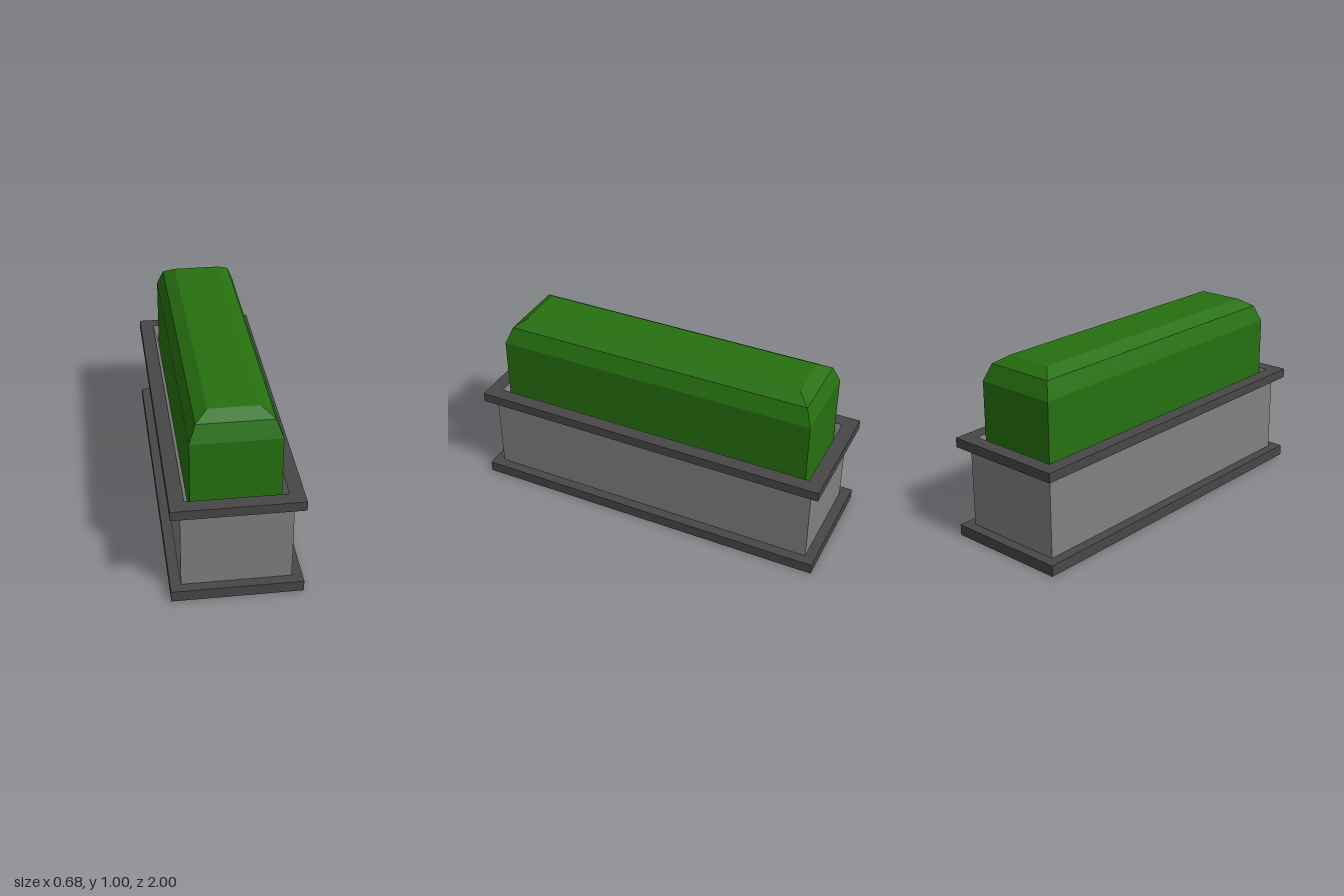
import * as THREE from 'three';

// Stacks rectangular rings [halfX, halfZ, y] into flat-sided walls, optionally capped at the end.
function loft(rings, capped) {
  const corners = ([x, z, y]) => [[-x, y, z], [x, y, z], [x, y, -z], [-x, y, -z]];
  const pos = [];
  const quad = (a, b, c, d) => pos.push(...a, ...b, ...c, ...a, ...c, ...d);
  for (let r = 0; r < rings.length - 1; r++) {
    const lo = corners(rings[r]), hi = corners(rings[r + 1]);
    for (let i = 0; i < 4; i++) {
      const j = (i + 1) % 4;
      quad(lo[i], lo[j], hi[j], hi[i]);
    }
  }
  if (capped) quad(...corners(rings[rings.length - 1]));
  const geo = new THREE.BufferGeometry();
  geo.setAttribute('position', new THREE.Float32BufferAttribute(pos, 3));
  geo.computeVertexNormals();
  return geo;
}

const rectangle = (Type, x, z) => new Type(
  [[-x, -z], [x, -z], [x, z], [-x, z]].map(([a, b]) => new THREE.Vector2(a, b)));

export function createModel() {
  const group = new THREE.Group();
  const material = (name, color) => {
    const m = new THREE.MeshStandardMaterial({ color });
    m.name = name;
    return m;
  };
  const stone = material('stone grey', 0x808080);
  const trim = material('dark trim', 0x474747);
  const leaves = material('hedge green', 0x267010);

  const add = (name, geo, mat) => {
    const mesh = new THREE.Mesh(geo, mat);
    mesh.name = name;
    group.add(mesh);
    return mesh;
  };

  // Plinth under the planter
  add('base', new THREE.BoxGeometry(0.68, 0.06, 2), trim).position.y = 0.03;

  // Planter walls
  add('planterWalls', loft([[0.285, 0.945, 0.06], [0.285, 0.945, 0.51]]), stone);

  // Overhanging rim with a rectangular opening
  const rimShape = rectangle(THREE.Shape, 0.337, 0.998);
  rimShape.holes.push(rectangle(THREE.Path, 0.26, 0.92));
  const rimGeo = new THREE.ExtrudeGeometry(rimShape, { depth: 0.052, bevelEnabled: false });
  rimGeo.rotateX(-Math.PI / 2);
  add('rim', rimGeo, trim).position.y = 0.507;

  // Sloping inside of the planter, running down to the hedge
  add('planterLining', loft([[0.26, 0.92, 0.559], [0.23, 0.89, 0.45]]), stone);

  // Clipped hedge with two chamfers round the top
  add('hedge', loft([
    [0.23, 0.89, 0.45], [0.23, 0.89, 0.866], [0.195, 0.855, 0.957], [0.13, 0.79, 1],
  ], true), leaves);

  return group;
}
